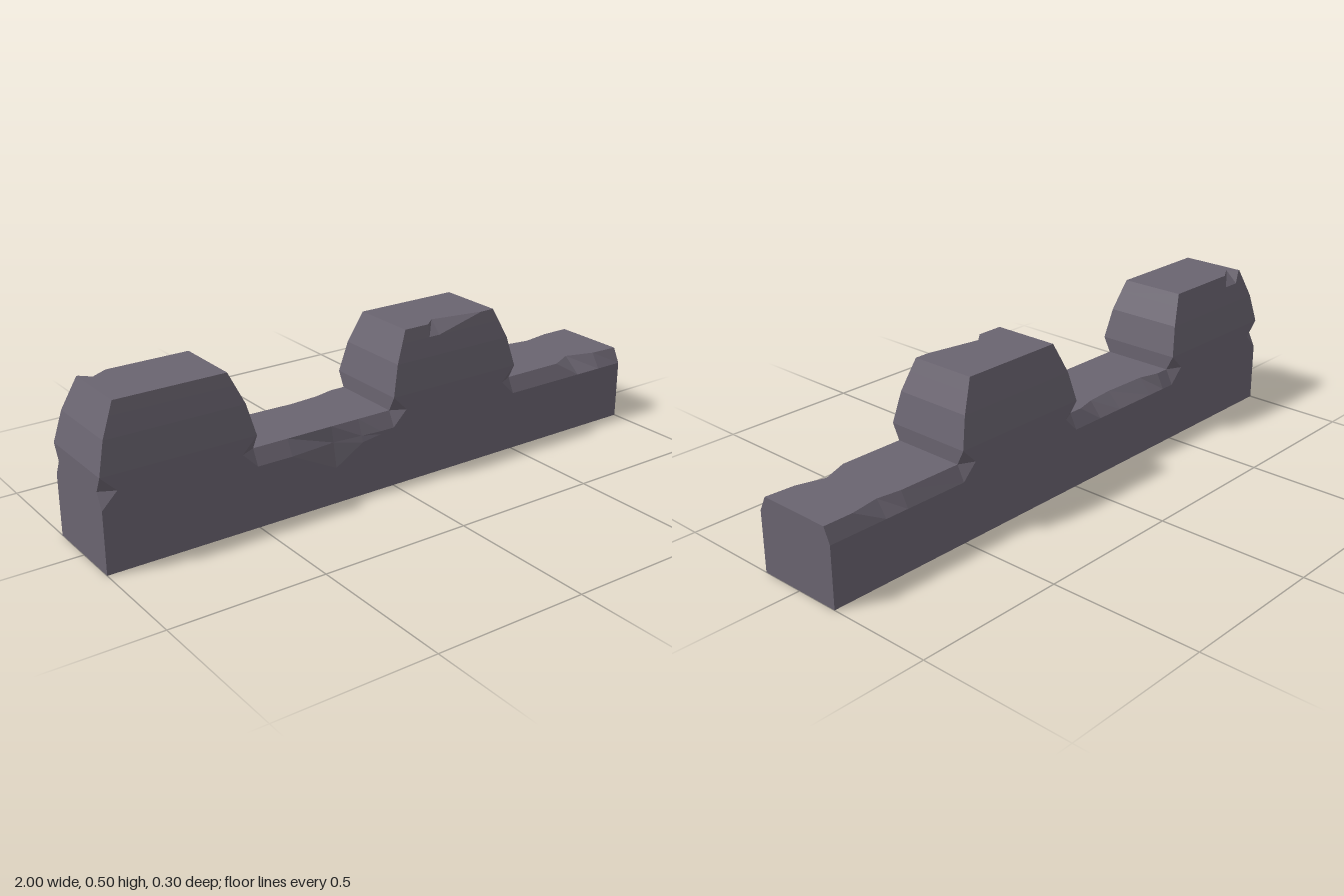
import * as THREE from 'three';

// Skin a stack of closed rings (arrays of [x, y, z]) and cap both ends with fans.
function loft(rings) {
  const pos = [];
  const tri = (a, b, c) => pos.push(...a, ...b, ...c);
  const n = rings[0].length;
  const centre = (r) => [0, 1, 2].map((k) => r.reduce((s, p) => s + p[k], 0) / n);
  for (let j = 0; j + 1 < rings.length; j++) {
    const a = rings[j], b = rings[j + 1];
    for (let i = 0; i < n; i++) {
      const k = (i + 1) % n;
      tri(a[i], a[k], b[k]);
      tri(a[i], b[k], b[i]);
    }
  }
  const first = rings[0], last = rings[rings.length - 1];
  const c0 = centre(first), c1 = centre(last);
  for (let i = 0; i < n; i++) {
    const k = (i + 1) % n;
    tri(first[k], first[i], c0);
    tri(last[i], last[k], c1);
  }
  const g = new THREE.BufferGeometry();
  g.setAttribute('position', new THREE.Float32BufferAttribute(pos, 3));
  g.computeVertexNormals();
  return g;
}

// Raised block: [y, half width, half depth, corner cut 0/1]
const LEVELS = [
  [0, 0.25, 0.15, 0], [0.2, 0.25, 0.15, 0], [0.25, 0.25, 0.15, 1], [0.3, 0.25, 0.15, 0],
  [0.4, 0.225, 0.135, 0], [0.46, 0.198, 0.122, 0], [0.5, 0.18, 0.113, 0],
];

// chip = { side: 1 front / -1 back, xs: three x offsets, depth }, broken out of the top edge
function merlon(cx, chip) {
  return loft(LEVELS.map(([y, w, d, cut]) => {
    const ux = cut * 0.05, uz = cut * 0.025;
    const mids = (side) => chip.xs.map((x, i) => {
      const bite = y === 0.5 && side === chip.side && i === 1 ? chip.depth : 0;
      return [cx + x, y, side * (d - bite)];
    });
    return [
      [cx - w + ux, y, d], ...mids(1), [cx + w - ux, y, d],
      [cx + w, y, d - uz], [cx + w, y, -d + uz],
      [cx + w - ux, y, -d], ...mids(-1).reverse(), [cx - w + ux, y, -d],
      [cx - w, y, -d + uz], [cx - w, y, d - uz],
    ];
  }));
}

// Low wall, stations along x: [x, front top z, back top z, dent depth, dent foot y]
function lowWall(stations) {
  return loft(stations.map(([x, front, back, dent = 0, foot = 0.19]) => [
    [x, 0, 0.15], [x, 0, -0.15], [x, 0.2, -0.15], [x, 0.25, -back],
    [x, 0.25, front], [x, 0.2, 0.15 - dent], [x, foot, 0.15],
  ]));
}

export function createModel() {
  const group = new THREE.Group();
  const stone = new THREE.MeshStandardMaterial({ color: 0x6a6470, flatShading: true });
  const add = (name, geometry) => {
    const mesh = new THREE.Mesh(geometry, stone);
    mesh.name = name;
    group.add(mesh);
  };

  // Raised blocks with pinched corners and one chipped edge each
  add('rightMerlon', merlon(-0.75, { side: -1, xs: [-0.175, -0.15, -0.09], depth: 0.035 }));
  add('leftMerlon', merlon(0.25, { side: 1, xs: [-0.09, -0.05, 0.13], depth: 0.033 }));

  // Low stretches with bevelled, worn edges
  add('middleLowWall', lowWall([
    [-0.5, 0.125, 0.125], [-0.45, 0.125, 0.125], [-0.38, 0.125, 0.105],
    [-0.22, 0.125, 0.1, 0.015, 0.12], [-0.12, 0.125, 0.108, 0.006, 0.18],
    [-0.05, 0.125, 0.125], [0, 0.125, 0.125],
  ]));
  add('endLowWall', lowWall([
    [0.5, 0.125, 0.125], [0.72, 0.125, 0.124], [0.8, 0.087, 0.112],
    [0.9, 0.118, 0.128], [1, 0.125, 0.128],
  ]));
  return group;
}
